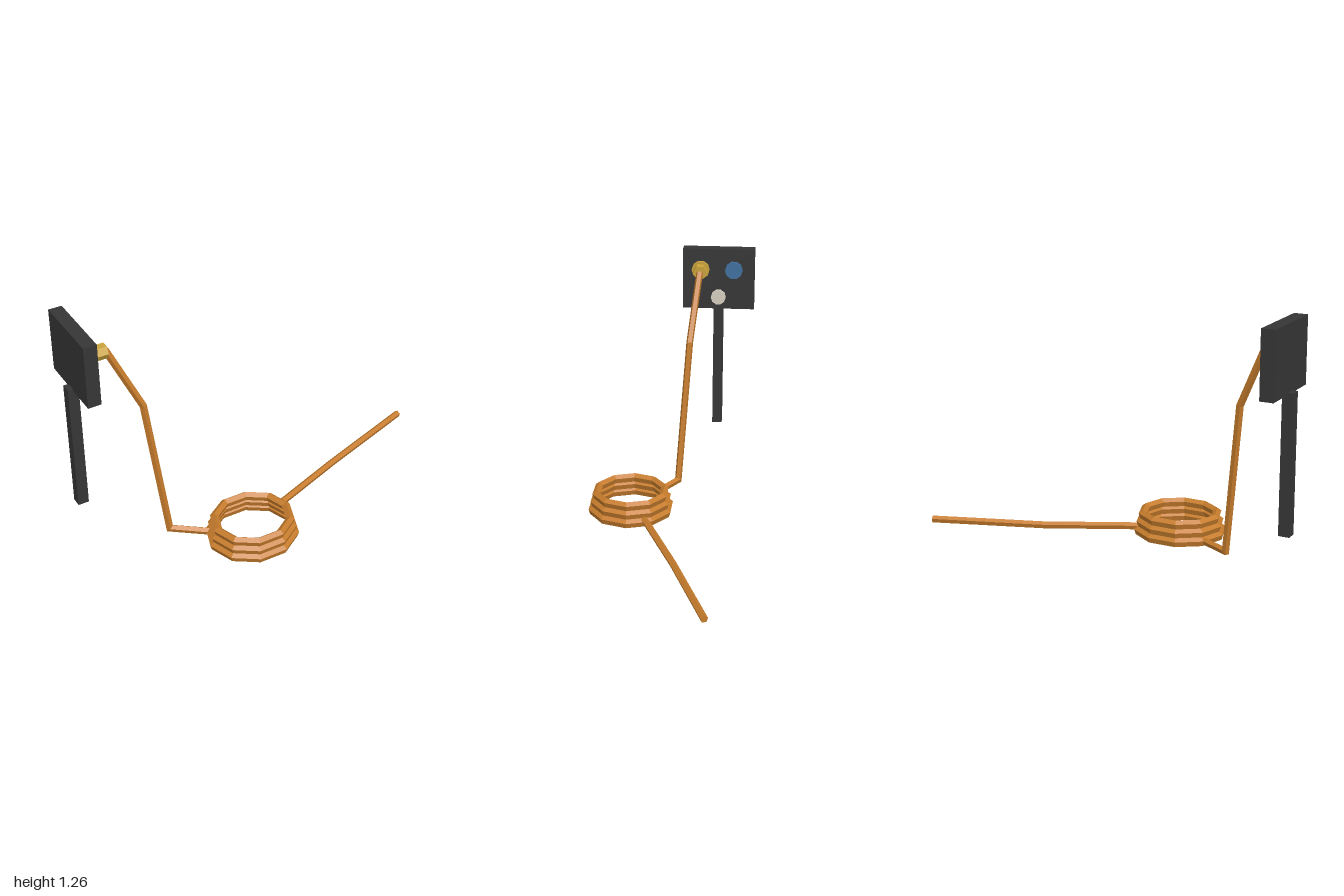
import * as THREE from 'three';

const mat = (name, color) => {
  const m = new THREE.MeshStandardMaterial({ color, flatShading: true });
  m.name = name;
  return m;
};

// Five-sided bar swept along a polyline with mitred corners and closed ends
function sweepBar(path, radius) {
  const pts = path.map(p => new THREE.Vector3(...p));
  const dirs = pts.slice(1).map((p, i) => p.clone().sub(pts[i]).normalize());
  const side = dirs[0].clone().cross(new THREE.Vector3(0, 1, 0)).normalize();
  const up = side.clone().cross(dirs[0]);
  const sections = [[]];
  for (let k = 0; k < 5; k++) {
    const a = Math.PI / 2 + k * Math.PI * 0.4;
    sections[0].push(pts[0].clone()
      .addScaledVector(side, radius * Math.cos(a))
      .addScaledVector(up, radius * Math.sin(a)));
  }
  // Slide the previous section along its segment onto the mitre plane
  for (let i = 1; i < pts.length; i++) {
    const d = dirs[i - 1];
    const n = d.clone().add(dirs[i] || d).normalize();
    sections.push(sections[i - 1].map(v =>
      v.clone().addScaledVector(d, pts[i].clone().sub(v).dot(n) / d.dot(n))));
  }
  const index = [];
  for (let i = 0; i < pts.length - 1; i++) {
    for (let k = 0; k < 5; k++) {
      const a = i * 5 + k, b = i * 5 + (k + 1) % 5;
      index.push(a, a + 5, b, b, a + 5, b + 5);
    }
  }
  const e = (pts.length - 1) * 5;
  for (let k = 1; k < 4; k++) index.push(0, k, k + 1, e, e + k + 1, e + k);
  const geo = new THREE.BufferGeometry().setFromPoints(sections.flat());
  geo.setIndex(index);
  geo.computeVertexNormals();
  return geo;
}

// Ten-sided ring with a pentagonal section pointing up
function coilRing(R, r) {
  const profile = [];
  for (let k = 0; k <= 5; k++) {
    const a = Math.PI / 2 + k * Math.PI * 0.4;
    profile.push(new THREE.Vector2(R + r * Math.cos(a), r * Math.sin(a)));
  }
  return new THREE.LatheGeometry(profile, 10, Math.PI / 2);
}

export function createModel() {
  const model = new THREE.Group();
  model.name = 'gardenHoseAndTapStand';
  const copper = mat('hose copper', 0xc67c2c);
  const gold = mat('brass', 0xc9a23a);
  const dark = mat('dark panel', 0x363636);
  const blue = mat('blue', 0x41709f);
  const cream = mat('cream', 0xd6d0c0);

  const add = (name, geo, material, x = 0, y = 0, z = 0) => {
    const mesh = new THREE.Mesh(geo, material);
    mesh.name = name;
    mesh.position.set(x, y, z);
    model.add(mesh);
    return mesh;
  };

  // Stand: post and panel
  add('post', new THREE.BoxGeometry(0.056, 0.693, 0.053), dark, -0.972, 0.5935, -0.2185);
  add('panel', new THREE.BoxGeometry(0.069, 0.333, 0.39), dark, -0.9385, 1.0965, -0.22);

  // Round fittings on the panel face, axis along x
  const disc = (r, h, sides) => new THREE.CylinderGeometry(r, r, h, sides).rotateZ(-Math.PI / 2);
  add('brassFlange', disc(0.049, 0.03, 10), gold, -0.898, 1.15, -0.122);
  add('blueFitting', disc(0.048, 0.03, 10), blue, -0.898, 1.15, -0.303);
  add('creamFitting', disc(0.041, 0.03, 10), cream, -0.898, 0.998, -0.22);
  add('hexConnector', disc(0.038, 0.075, 6), gold, -0.86, 1.15, -0.122);

  // Stacked coil, narrowing upwards
  [0.221, 0.209, 0.197].forEach((R, i) => {
    const ring = add('coilRing', coilRing(R, 0.024), copper, -0.225, 0.024 + i * 0.043, 0.192);
    ring.scale.z = 0.935;
  });

  // Loose end lying on the ground
  add('looseEnd', sweepBar([
    [-0.05, 0.038, 0.107], [0.43, 0.024, -0.085], [0.993, 0.024, -0.28],
  ], 0.019), copper);

  // Riser from the coil up to the connector
  add('riser', sweepBar([
    [-0.41, 0.026, 0.085], [-0.583, 0.038, -0.03],
    [-0.667, 0.805, -0.082], [-0.825, 1.155, -0.122],
  ], 0.019), copper);

  return model;
}
